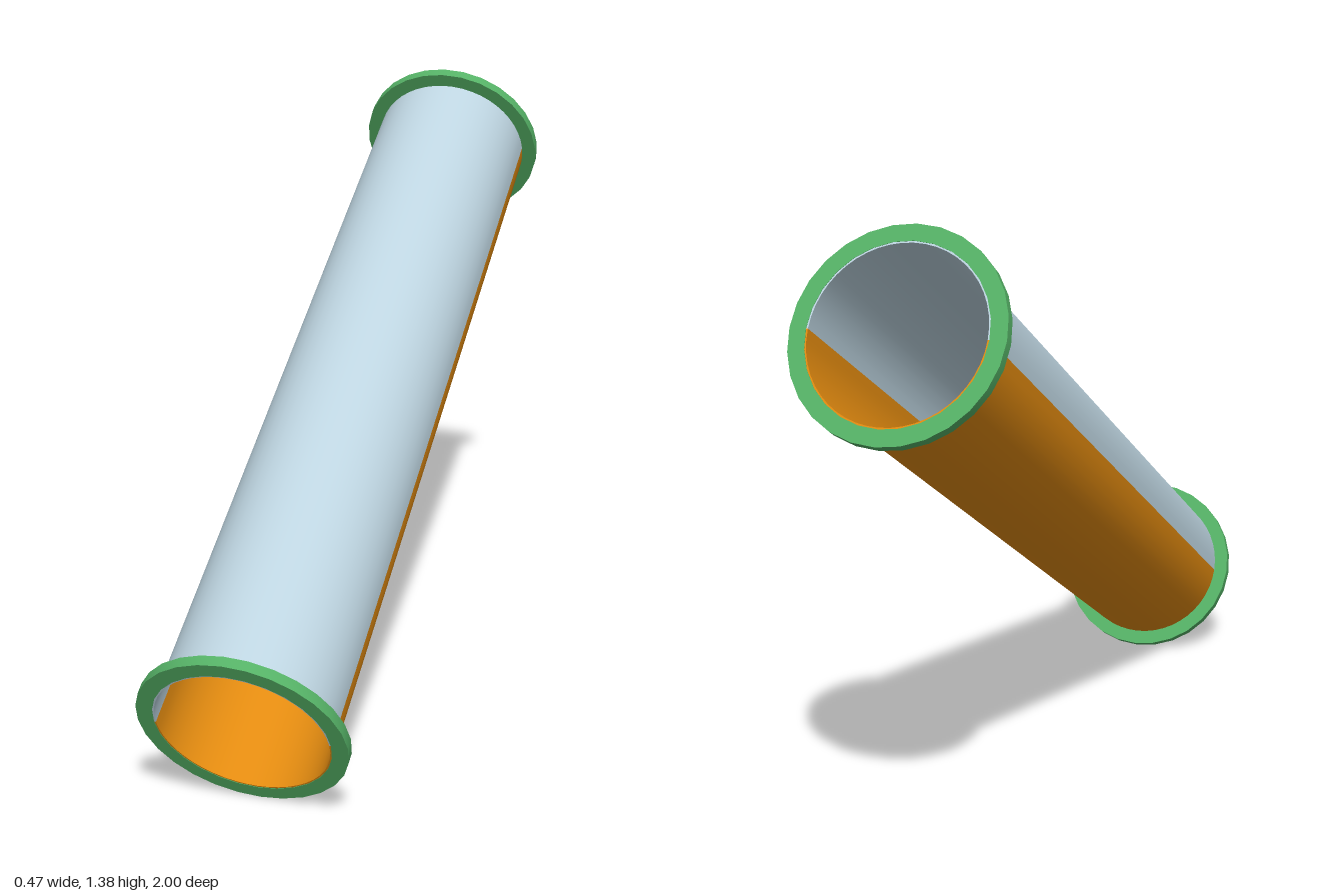
import * as THREE from 'three';
import { toCreasedNormals } from 'three/addons/utils/BufferGeometryUtils.js';

const TILT = 0.5;      // slope of the tube, radians
const LENGTH = 2.02;
const RADIUS = 0.2;

const glassBlue = new THREE.MeshStandardMaterial({ color: 0xbdd4e0, side: THREE.DoubleSide });
const orange = new THREE.MeshStandardMaterial({ color: 0xe38b10, side: THREE.DoubleSide });
const green = new THREE.MeshStandardMaterial({ color: 0x55b166 });
glassBlue.name = 'pale blue';
orange.name = 'orange';
green.name = 'green';

// Rectangular section swept around the tube axis
function ring(name, material, inner, outer, height, sides, start = 0, sweep = Math.PI * 2) {
  const h = height / 2;
  const profile = [[inner, -h], [outer, -h], [outer, h], [inner, h], [inner, -h]]
    .map(([x, y]) => new THREE.Vector2(x, y));
  const geometry = toCreasedNormals(new THREE.LatheGeometry(profile, sides, start, sweep), 0.6);
  const mesh = new THREE.Mesh(geometry, material);
  mesh.name = name;
  return mesh;
}

export function createModel() {
  const model = new THREE.Group();
  model.name = 'slopingTube';
  const tube = new THREE.Group();
  tube.name = 'tube';

  // Two half shells that meet along the sides
  tube.add(ring('upperShell', glassBlue, RADIUS - 0.005, RADIUS, LENGTH - 0.002, 24, -Math.PI / 2, Math.PI));
  tube.add(ring('lowerShell', orange, RADIUS - 0.005, RADIUS, LENGTH - 0.002, 24, Math.PI / 2, Math.PI));

  // End flanges
  for (const [name, side] of [['lowerFlange', -1], ['upperFlange', 1]]) {
    const flange = ring(name, green, RADIUS - 0.001, 0.236, 0.025, 28);
    flange.position.y = side * (LENGTH / 2 - 0.0125);
    tube.add(flange);
  }

  // Lean the tube so that its front end rests on the ground
  tube.rotation.x = TILT - Math.PI / 2;
  tube.position.y = (LENGTH / 2) * Math.sin(TILT) + 0.236 * Math.cos(TILT);
  model.add(tube);
  return model;
}
